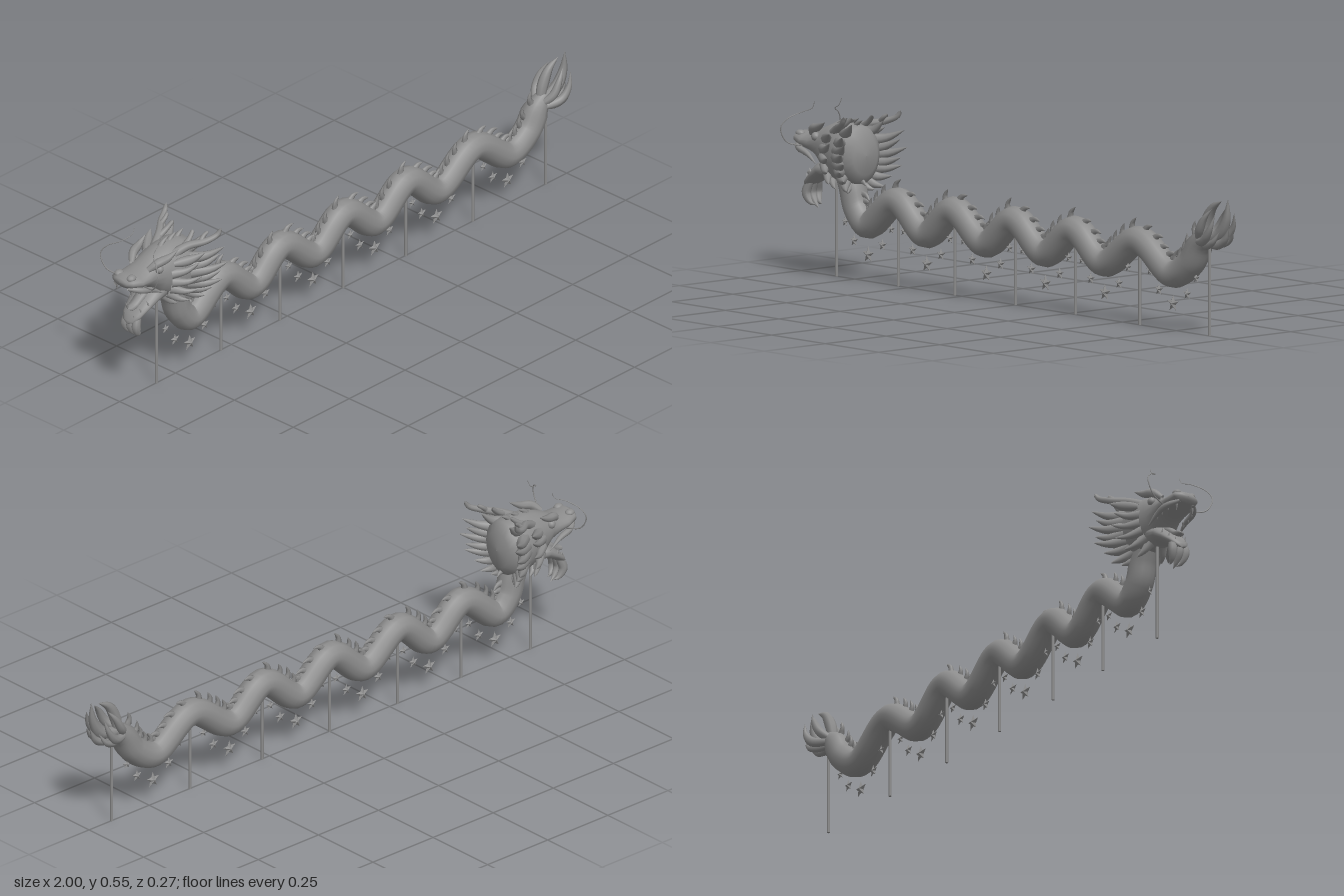
import * as THREE from 'three';

const stone = new THREE.MeshStandardMaterial({ color: 0x8c8c8c });
stone.name = 'grey';
stone.side = THREE.DoubleSide;

const V = (p) => new THREE.Vector3(p[0], p[1], p[2] || 0);
const curveOf = (pts) => new THREE.CatmullRomCurve3(pts.map(V));

function add(parent, name, geometry) {
  const mesh = new THREE.Mesh(geometry, stone);
  mesh.name = name;
  parent.add(mesh);
  return mesh;
}

// Tube whose radius follows r(t); fz squashes it sideways
function sweep(pts, r, { steps = 12, sides = 8, fz = 1 } = {}) {
  const curve = curveOf(pts);
  const geo = new THREE.TubeGeometry(curve, steps, 1, sides, false);
  const pos = geo.attributes.position;
  const v = new THREE.Vector3();
  for (let i = 0; i <= steps; i++) {
    const c = curve.getPointAt(i / steps);
    const s = r(i / steps);
    for (let j = 0; j <= sides; j++) {
      const k = i * (sides + 1) + j;
      v.fromBufferAttribute(pos, k).sub(c).multiplyScalar(s);
      v.z *= fz;
      v.add(c);
      pos.setXYZ(k, v.x, v.y, v.z);
    }
  }
  return geo;
}
const spikeRadius = (r) => (t) => r * (1 - t) ** 0.75 + 0.0002;
const petalRadius = (r) => (t) => r * Math.sin(Math.PI * (0.2 + 0.8 * t)) + 0.0002;
const bluntRadius = (a, b) => (t) => (a + (b - a) * t) * (t > 0.9 ? Math.sqrt(Math.max(0, 1 - ((t - 0.9) / 0.1) ** 2)) : 1) + 0.0002;

// Closed skin over oval sections [x, y, half height, half width]
function loft(sections, sides = 20) {
  const pos = [], idx = [];
  sections.forEach(([x, y, h, w], i) => {
    const a = sections[Math.max(i - 1, 0)], b = sections[Math.min(i + 1, sections.length - 1)];
    const len = Math.hypot(b[0] - a[0], b[1] - a[1]);
    const tx = (b[0] - a[0]) / len, ty = (b[1] - a[1]) / len;
    for (let j = 0; j < sides; j++) {
      const q = (j / sides) * Math.PI * 2, c = Math.cos(q) * h;
      pos.push(x - ty * c, y + tx * c, Math.sin(q) * w);
      if (i < sections.length - 1) {
        const p = i * sides + j, d = i * sides + ((j + 1) % sides);
        idx.push(p, d, p + sides, d, d + sides, p + sides);
      }
    }
  });
  const geo = new THREE.BufferGeometry();
  geo.setAttribute('position', new THREE.Float32BufferAttribute(pos, 3));
  geo.setIndex(idx);
  geo.computeVertexNormals();
  return geo;
}

// Five-pointed star, thick in the middle and sharp at the rim
function starGeometry(R, depth) {
  const pos = [];
  const rim = (k) => {
    const a = Math.PI / 2 + (k * Math.PI) / 5, r = k % 2 ? R * 0.45 : R;
    return [Math.cos(a) * r, Math.sin(a) * r, 0];
  };
  for (let k = 0; k < 10; k++) {
    pos.push(0, 0, depth, ...rim(k), ...rim(k + 1));
    pos.push(0, 0, -depth, ...rim(k + 1), ...rim(k));
  }
  const geo = new THREE.BufferGeometry();
  geo.setAttribute('position', new THREE.Float32BufferAttribute(pos, 3));
  geo.computeVertexNormals();
  return geo;
}

const peaks = [-0.547, -0.283, 0, 0.28, 0.58];
const valleys = [-0.687, -0.414, -0.136, 0.14, 0.417, 0.735];

function buildBody(root) {
  const pts = [[-0.79, 0.36], [-0.76, 0.285], [-0.738, 0.22]];
  valleys.forEach((x, i) => {
    pts.push([x, 0.176]);
    if (i < peaks.length) pts.push([peaks[i], 0.264]);
  });
  pts.push([0.82, 0.22], [0.865, 0.285], [0.9, 0.315]);
  add(root, 'body', sweep(pts, (t) => 0.044 * (t > 0.97 ? 1 - (t - 0.97) * 15 : 1), { steps: 170, sides: 12 }));

  // Swept-back spikes along the spine
  const curve = curveOf(pts), spine = new THREE.Group();
  spine.name = 'spineSpikes';
  root.add(spine);
  const n = 56;
  for (let i = 2; i < n; i++) {
    const u = i / n, p = curve.getPointAt(u), t = curve.getTangentAt(u);
    const s = 0.8 + 0.3 * Math.abs(Math.sin(i * 1.7));
    const at = (up, along) => [p.x - t.y * up + t.x * along, p.y + t.x * up + t.y * along];
    add(spine, 'spineSpike', sweep([at(0.036, -0.008), at(0.04 + 0.014 * s, 0), at(0.042 + 0.024 * s, 0.021 * s)],
      spikeRadius(0.013), { steps: 5, sides: 6, fz: 0.65 }));
  }
}

function buildHead(root) {
  const head = new THREE.Group();
  head.name = 'head';
  root.add(head);
  add(head, 'skullAndSnout', loft([
    [-1.0, 0.42, 0.001, 0.001], [-0.998, 0.42, 0.012, 0.028], [-0.985, 0.42, 0.021, 0.046], [-0.95, 0.412, 0.023, 0.055],
    [-0.915, 0.41, 0.032, 0.055], [-0.885, 0.41, 0.05, 0.055], [-0.85, 0.405, 0.075, 0.064], [-0.81, 0.395, 0.092, 0.074],
    [-0.76, 0.388, 0.098, 0.083], [-0.72, 0.388, 0.09, 0.076], [-0.7, 0.388, 0.06, 0.05], [-0.695, 0.388, 0.001, 0.001]]));
  add(head, 'lowerJaw', loft([
    [-0.83, 0.34, 0.001, 0.001], [-0.84, 0.34, 0.03, 0.05], [-0.88, 0.33, 0.025, 0.05], [-0.915, 0.308, 0.018, 0.045],
    [-0.945, 0.285, 0.014, 0.036], [-0.96, 0.268, 0.01, 0.022], [-0.965, 0.26, 0.001, 0.001]]));
  add(head, 'tongue', sweep([[-0.85, 0.35], [-0.9, 0.34], [-0.94, 0.315], [-0.965, 0.31]], bluntRadius(0.012, 0.008), { fz: 2 }));
  for (const z of [-0.018, 0, 0.018]) {
    add(head, 'beard', sweep([[-0.935, 0.29, z], [-0.95, 0.25, z * 1.3], [-0.935, 0.22, z], [-0.918, z ? 0.215 : 0.203, z * 0.7]], petalRadius(0.016), { fz: 0.8 }));
  }
  for (const x of [-0.82, -0.785, -0.75]) {
    add(head, 'crest', sweep([[x, 0.472], [x + 0.012, 0.485], [x + 0.035, 0.497]], spikeRadius(0.011), { steps: 5 }));
  }

  // Back row then cheek row: base angle from the top, tip [x, y, z]
  const mane = [
    [35, -0.69, 0.492, 0.065], [58, -0.665, 0.46, 0.128], [76, -0.67, 0.432, 0.115], [90, -0.66, 0.407, 0.136], [106, -0.67, 0.375, 0.118],
    [120, -0.675, 0.35, 0.128], [136, -0.69, 0.318, 0.1], [150, -0.7, 0.285, 0.08], [165, -0.72, 0.276, 0.055]];
  const cheeks = [[75, -0.75, 0.43, 0.105], [98, -0.75, 0.385, 0.115], [118, -0.76, 0.34, 0.108], [138, -0.775, 0.3, 0.085], [158, -0.79, 0.28, 0.045]];
  for (const s of [1, -1]) {
    const m = (pts) => pts.map(([x, y, z]) => [x, y, z * s]);
    const spikes = (name, rows, x0, ry, rz, r) => rows.forEach(([deg, x, y, z]) => {
      const a = THREE.MathUtils.degToRad(deg), by = 0.385 + Math.cos(a) * ry, bz = Math.sin(a) * rz;
      add(head, name, sweep(m([[x0, by, bz], [(x0 + x) / 2, (by + y) / 2 - 0.008, (bz + z) / 2 + 0.003], [x, y, z]]), spikeRadius(r), { steps: 8 }));
    });
    spikes('maneSpike', mane, -0.755, 0.08, 0.066, 0.022);
    spikes('cheekSpike', cheeks, -0.83, 0.07, 0.06, 0.017);

    // Branched antlers
    add(head, 'antler', sweep(m([[-0.81, 0.45, 0.035], [-0.76, 0.475, 0.06], [-0.715, 0.487, 0.095], [-0.68, 0.503, 0.112], [-0.668, 0.523, 0.117]]), bluntRadius(0.016, 0.007), { steps: 18 }));
    add(head, 'antlerProng', sweep(m([[-0.775, 0.468, 0.052], [-0.74, 0.487, 0.048], [-0.715, 0.508, 0.042]]), bluntRadius(0.011, 0.006)));
    add(head, 'antlerProng', sweep(m([[-0.73, 0.482, 0.085], [-0.71, 0.5, 0.082], [-0.695, 0.51, 0.087]]), bluntRadius(0.009, 0.005)));

    // Face
    const eye = add(head, 'eye', new THREE.SphereGeometry(0.014, 12, 8));
    eye.position.set(-0.876, 0.435, 0.05 * s);
    add(head, 'brow', sweep(m([[-0.91, 0.44, 0.035], [-0.885, 0.46, 0.052], [-0.85, 0.468, 0.062], [-0.81, 0.487, 0.07]]), petalRadius(0.014)));
    add(head, 'ear', sweep(m([[-0.82, 0.435, 0.06], [-0.78, 0.445, 0.09], [-0.74, 0.462, 0.115]]), petalRadius(0.016)));
    const nostril = add(head, 'nostril', new THREE.SphereGeometry(0.014, 12, 8));
    nostril.position.set(-0.975, 0.433, 0.026 * s);
    nostril.scale.set(1.2, 0.8, 1);
    add(head, 'lip', sweep(m([[-0.99, 0.402, 0.025], [-0.955, 0.392, 0.05], [-0.91, 0.378, 0.054], [-0.865, 0.35, 0.058]]), petalRadius(0.01)));
    for (const [x, y, z, h] of [[-0.98, 0.402, 0.03, 0.03], [-0.955, 0.394, 0.045, 0.018], [-0.93, 0.386, 0.05, 0.018], [-0.905, 0.378, 0.05, 0.016]]) {
      const tooth = add(head, 'upperTooth', new THREE.ConeGeometry(0.006, h, 6));
      tooth.position.set(x, y - h / 2, z * s);
      tooth.rotation.x = Math.PI;
    }
    for (const [x, y, z] of [[-0.955, 0.285, 0.018], [-0.938, 0.305, 0.03], [-0.915, 0.326, 0.038]]) {
      const tooth = add(head, 'lowerTooth', new THREE.ConeGeometry(0.005, 0.022, 6));
      tooth.position.set(x, y, z * s);
      tooth.rotation.z = 0.4;
    }
    add(head, 'whisker', sweep(m([[-0.94, 0.4, 0.05], [-0.955, 0.415, 0.1], [-0.957, 0.46, 0.122], [-0.945, 0.488, 0.105],
      [-0.92, 0.508, 0.068], [-0.885, 0.524, 0.055], [-0.875, 0.545, 0.056]]), (t) => 0.0025 - 0.0015 * t, { steps: 30, sides: 5 }));
  }
}

// Flame-like tail made of curved petals
function buildTail(root) {
  const tail = new THREE.Group();
  tail.name = 'tail';
  root.add(tail);
  const petal = (pts, r, fz = 0.8) => add(tail, 'tailPetal', sweep(pts, petalRadius(r), { steps: 14, fz }));
  petal([[0.88, 0.3], [0.893, 0.355], [0.92, 0.4], [0.962, 0.425]], 0.02);
  petal([[0.88, 0.3], [0.95, 0.32], [0.983, 0.37], [0.992, 0.435]], 0.021);
  petal([[0.89, 0.29], [0.94, 0.288], [0.975, 0.305], [0.996, 0.345]], 0.016);
  for (const s of [1, -1]) {
    petal([[0.87, 0.3, 0.015 * s], [0.9, 0.33, 0.038 * s], [0.925, 0.37, 0.04 * s], [0.95, 0.402, 0.03 * s]], 0.015);
    petal([[0.87, 0.29, 0.02 * s], [0.93, 0.305, 0.044 * s], [0.96, 0.34, 0.048 * s], [0.975, 0.385, 0.04 * s]], 0.015);
    petal([[0.88, 0.285, 0.01 * s], [0.92, 0.285, 0.026 * s], [0.96, 0.3, 0.035 * s], [0.985, 0.335, 0.028 * s]], 0.013);
  }
}

export function createModel() {
  const root = new THREE.Group();
  root.name = 'paradeDragon';
  buildBody(root);
  buildHead(root);
  buildTail(root);

  // Carrying poles
  [[-0.835, 0.34], ...peaks.map((x) => [x, 0.25]), [0.906, 0.29]].forEach(([x, h]) => {
    add(root, 'pole', new THREE.CylinderGeometry(0.0048, 0.0048, h, 8)).position.set(x, h / 2, 0);
  });

  // Stars hanging in an arc under each dip
  const small = starGeometry(0.017, 0.006), medium = starGeometry(0.02, 0.007), large = starGeometry(0.027, 0.009);
  for (const x of valleys) {
    for (const [dx, y, geo] of [[-0.108, 0.174, small], [-0.066, 0.12, medium], [0, 0.083, large], [0.066, 0.12, medium], [0.108, 0.174, small]]) {
      add(root, 'star', geo).position.set(x + dx, y, 0);
    }
  }
  return root;
}
